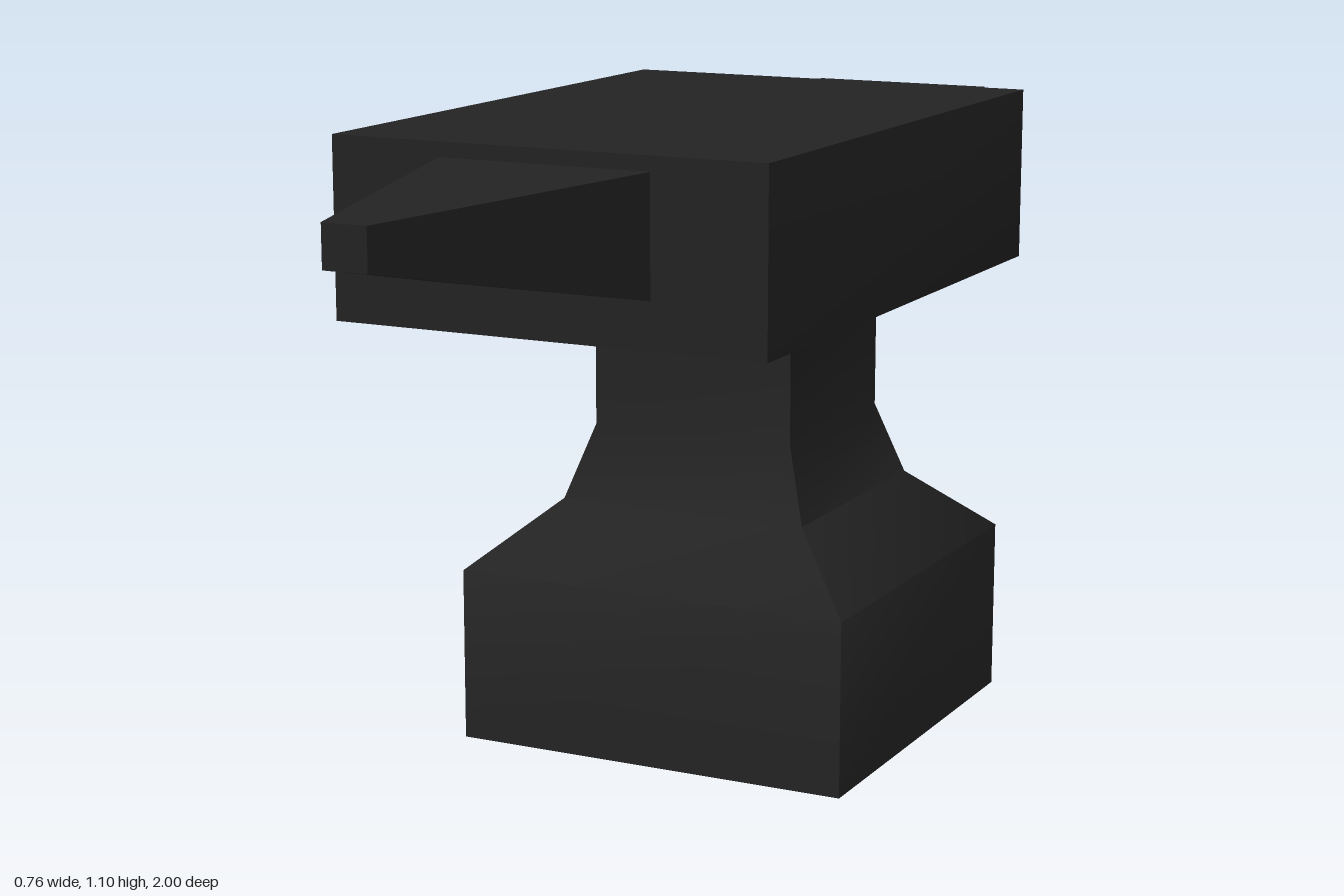
import * as THREE from 'three';
import { toCreasedNormals } from 'three/addons/utils/BufferGeometryUtils.js';

// Solid through rectangular sections [y, halfWidth, zFront, zBack], bottom to top
function loft(sections) {
  const pos = [], index = [];
  for (const [y, w, f, b] of sections) pos.push(-w, y, f, w, y, f, w, y, b, -w, y, b);
  for (let s = 0; s < sections.length - 1; s++) {
    for (let k = 0; k < 4; k++) {
      const a = s * 4 + k, c = s * 4 + (k + 1) % 4;
      index.push(a, c, c + 4, a, c + 4, a + 4);
    }
  }
  const t = (sections.length - 1) * 4;
  index.push(0, 2, 1, 0, 3, 2, t, t + 1, t + 2, t, t + 2, t + 3);
  const g = new THREE.BufferGeometry();
  g.setAttribute('position', new THREE.Float32BufferAttribute(pos, 3));
  g.setIndex(index);
  return toCreasedNormals(g, THREE.MathUtils.degToRad(72));
}

export function createModel() {
  const group = new THREE.Group();
  const iron = new THREE.MeshStandardMaterial({ color: 0x232323 });
  iron.name = 'darkIron';

  const add = (name, geometry) => {
    const mesh = new THREE.Mesh(geometry, iron);
    mesh.name = name;
    group.add(mesh);
    return mesh;
  };

  // Foot, waist and working block in one softly shaded piece
  add('body', loft([
    [0, 0.357, 0.095, -0.615],
    [0.303, 0.357, 0.095, -0.615],
    [0.418, 0.227, -0.035, -0.487],
    [0.547, 0.185, -0.076, -0.444],
    [0.717, 0.185, -0.076, -0.444],
    [0.8, 0.38, 0.44, -0.64],
    [1.1, 0.38, 0.44, -0.64],
  ]));

  // Tapered horn: a box whose front end shrinks to the tip
  const horn = new THREE.BoxGeometry(1, 1, 1);
  const p = horn.attributes.position;
  for (let i = 0; i < p.count; i++) {
    const tip = p.getZ(i) > 0, top = p.getY(i) > 0;
    p.setXYZ(i,
      Math.sign(p.getX(i)) * (tip ? 0.037 : 0.184),
      tip ? (top ? 1.062 : 0.995) : (top ? 1.075 : 0.878),
      tip ? 1 : 0.44);
  }
  horn.computeVertexNormals();
  add('horn', horn);

  // Square heel at the back
  add('heel', new THREE.BoxGeometry(0.342, 0.136, 0.36)).position.set(0, 0.991, -0.82);

  return group;
}
